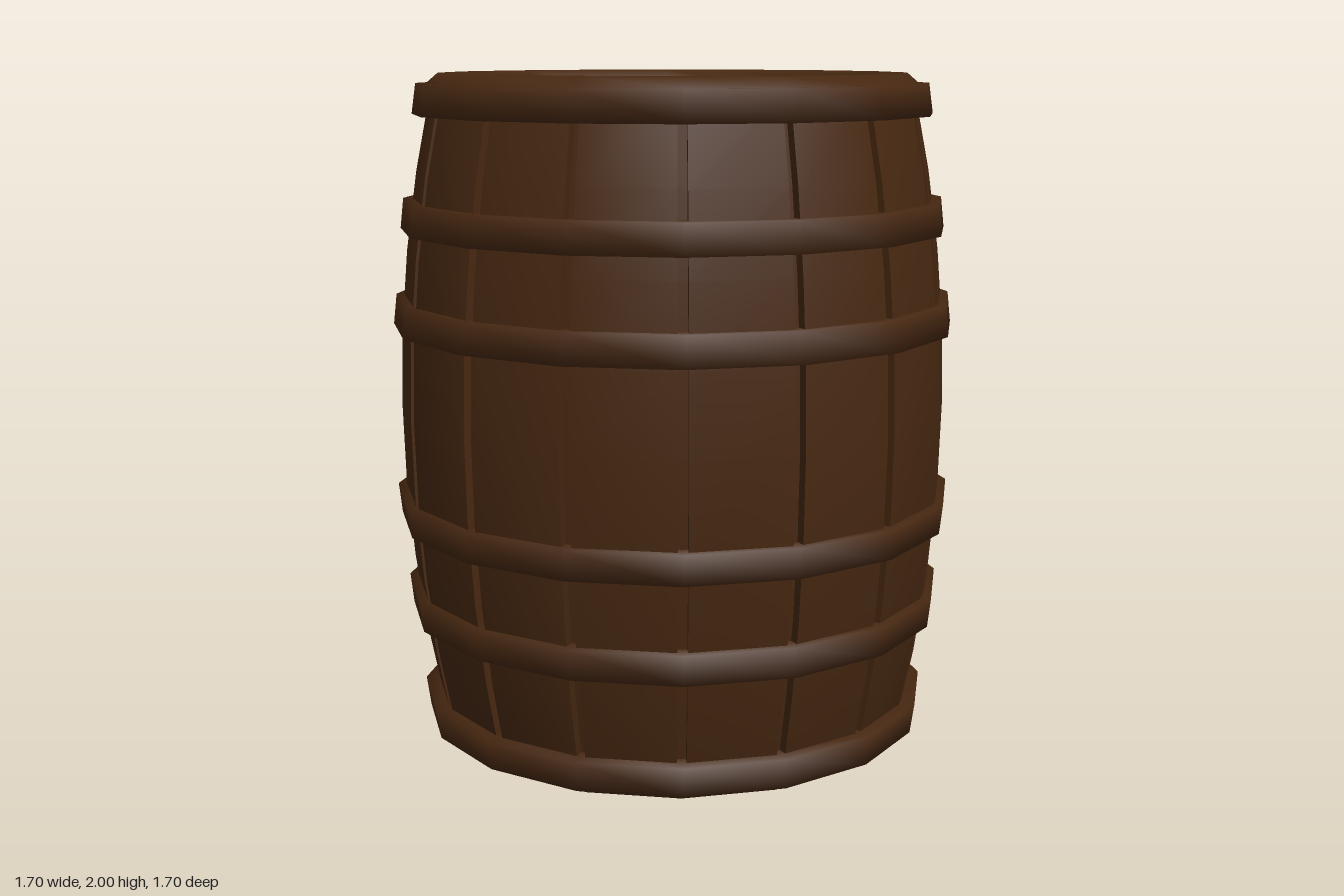
import * as THREE from 'three';

const SIDES = 16;
const STEP = (Math.PI * 2) / SIDES;
const GAP = 0.018; // half the groove between staves, in radians

// Barrel radius at a given height
const radiusAt = (y) => 0.83 - 0.12 * (y - 1) ** 2;

const lathe = (pairs) =>
  new THREE.LatheGeometry(pairs.map(([r, y]) => new THREE.Vector2(r, y)), SIDES);

// Mirror a profile about mid height, keeping its outward winding
const flip = (pairs) => pairs.map(([r, y]) => [r, 2 - y]).reverse();

// A box bent into one bowed plank
function staveGeometry() {
  const geo = new THREE.BoxGeometry(1, 1.9, 1, 1, 8, 1);
  const pos = geo.attributes.position;
  for (let i = 0; i < pos.count; i++) {
    const y = pos.getY(i) + 1;
    const angle = pos.getX(i) * (STEP - 2 * GAP);
    const r = radiusAt(y) - (pos.getZ(i) > 0 ? 0 : 0.06);
    pos.setXYZ(i, Math.sin(angle) * r, y, Math.cos(angle) * r);
  }
  geo.computeVertexNormals();
  // Rounded shading on the outer face
  const outer = geo.groups[4];
  for (let k = outer.start; k < outer.start + outer.count; k++) {
    const i = geo.index.getX(k);
    const n = new THREE.Vector3(pos.getX(i), 0.24 * (pos.getY(i) - 1), pos.getZ(i)).normalize();
    geo.attributes.normal.setXYZ(i, n.x, n.y, n.z);
  }
  return geo;
}

export function createModel() {
  const group = new THREE.Group();
  const wood = new THREE.MeshStandardMaterial({ color: 0x472811 });
  wood.name = 'dark wood';

  const add = (name, geo) => {
    const mesh = new THREE.Mesh(geo, wood);
    mesh.name = name;
    group.add(mesh);
    return mesh;
  };

  // Staves
  const stave = staveGeometry();
  for (let i = 0; i < SIDES; i++) {
    add('stave', stave).rotation.y = (i + 0.5) * STEP;
  }

  // Inner core seen at the bottom of the grooves
  const core = [];
  for (let i = 0; i <= 8; i++) {
    const y = 0.05 + (1.9 * i) / 8;
    core.push([radiusAt(y) - 0.03, y]);
  }
  add('core', lathe(core));

  // Two pairs of hoops
  for (const [y, r] of [[1.25, 0.85], [1.54, 0.822]]) {
    const inner = radiusAt(y) - 0.04;
    const profile = [[inner, y], [r, y], [r - 0.01, y + 0.09], [inner, y + 0.09]];
    add('upperHoop', lathe(profile));
    add('lowerHoop', lathe(flip(profile)));
  }

  // End hoops
  const endHoop = [[0.70, 1.88], [0.78, 1.88], [0.767, 1.97], [0.71, 1.97]];
  add('topHoop', lathe(endHoop));
  add('bottomHoop', lathe(flip(endHoop)));

  // Chamfered rims with recessed heads
  const rim = [[0.74, 1.95], [0.735, 1.97], [0.70, 2], [0.63, 2], [0.615, 1.96]];
  const head = [[0.615, 1.96], [0.5, 1.96], [0, 1.96]];
  add('topRim', lathe(rim));
  add('topHead', lathe(head));
  add('bottomRim', lathe(flip(rim)));
  add('bottomHead', lathe(flip(head)));

  return group;
}
